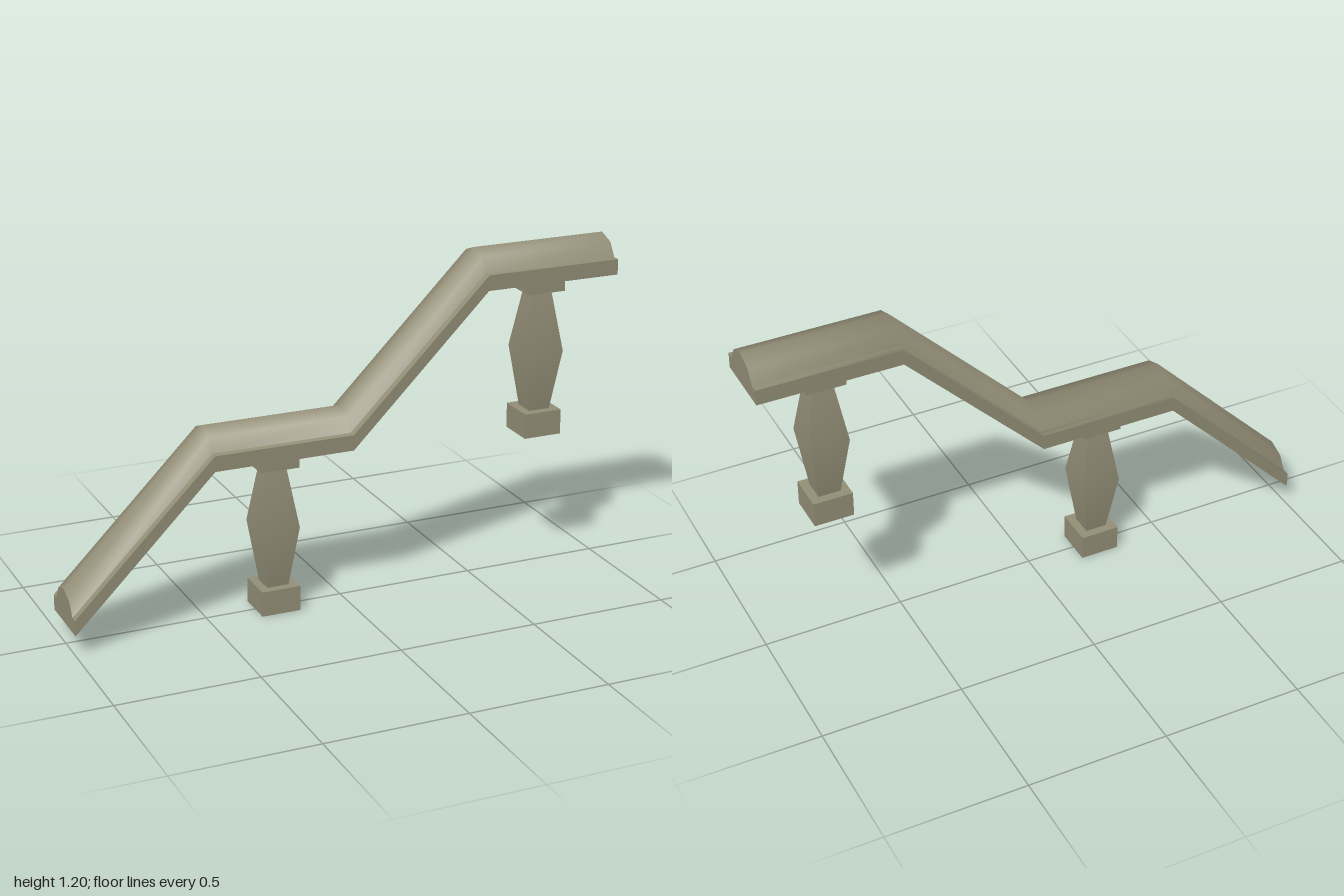
import * as THREE from 'three';

const stone = new THREE.MeshStandardMaterial({ color: 0x928d76, side: THREE.DoubleSide });
stone.name = 'weathered stone';

// Stepped handrail route (x, y of the underside) and its cross-section (z, y)
const path = [[-1, 0.075], [-0.5, 0.575], [0, 0.575], [0.5, 1.075], [1, 1.075]];
const section = [
  [0.117, 0], [0.117, 0.055], [0.09, 0.055], [0.06, 0.103], [0, 0.125],
  [-0.06, 0.103], [-0.09, 0.055], [-0.117, 0.055], [-0.117, 0],
];

function mesh(geometry, name) {
  const m = new THREE.Mesh(geometry, stone);
  m.name = name;
  return m;
}

// Sweeps an open piece of the section along the path, smooth within the piece
function sweep(points) {
  const positions = [], index = [], n = points.length;
  for (const [x, y] of path) for (const [z, h] of points) positions.push(x, y + h, z);
  for (let i = 0; i < path.length - 1; i++) {
    for (let j = 0; j < n - 1; j++) {
      const a = i * n + j, b = a + n;
      index.push(a, b, b + 1, a, b + 1, a + 1);
    }
  }
  const g = new THREE.BufferGeometry();
  g.setAttribute('position', new THREE.Float32BufferAttribute(positions, 3));
  g.setIndex(index);
  g.computeVertexNormals();
  return g;
}

function makeRail() {
  const rail = new THREE.Group();
  rail.name = 'handrail';
  const s = section;
  rail.add(
    mesh(sweep([s[0], s[1]]), 'frontEdge'),
    mesh(sweep([s[1], s[2]]), 'frontLedge'),
    mesh(sweep(s.slice(2, 7)), 'roundedTop'),
    mesh(sweep([s[6], s[7]]), 'backLedge'),
    mesh(sweep([s[7], s[8]]), 'backEdge'),
    mesh(sweep([s[8], s[0]]), 'underside'),
  );
  // Flat ends
  const shape = new THREE.Shape(section.map(([z, y]) => new THREE.Vector2(z, y)));
  for (const [side, [x, y]] of [[-1, path[0]], [1, path[path.length - 1]]]) {
    const end = mesh(new THREE.ShapeGeometry(shape), side < 0 ? 'lowerEnd' : 'upperEnd');
    end.rotation.y = side * Math.PI / 2;
    end.position.set(x, y, 0);
    rail.add(end);
  }
  return rail;
}

function makeBaluster(name, x, y) {
  const baluster = new THREE.Group();
  baluster.name = name;

  // Plinth, hollow underneath: the bottom face is left out
  const plinthGeometry = new THREE.BoxGeometry(0.14, 0.09, 0.14);
  const faces = Array.from(plinthGeometry.index.array);
  faces.splice(18, 6);
  plinthGeometry.setIndex(faces);
  plinthGeometry.clearGroups();
  const plinth = mesh(plinthGeometry, 'plinth');
  plinth.position.y = 0.045;

  // Square shaft, widest halfway up
  const shaftGeometry = new THREE.BoxGeometry(0.14, 0.435, 0.14, 1, 2, 1);
  const p = shaftGeometry.attributes.position;
  for (let i = 0; i < p.count; i++) {
    const h = p.getY(i);
    const k = h > 0.1 ? 0.5 : h < -0.1 ? 0.56 : 1;
    p.setXYZ(i, p.getX(i) * k, h, p.getZ(i) * k);
  }
  shaftGeometry.computeVertexNormals();
  const shaft = mesh(shaftGeometry, 'shaft');
  shaft.position.y = 0.3075;

  const cap = mesh(new THREE.BoxGeometry(0.14, 0.05, 0.14), 'cap');
  cap.position.y = 0.55;

  baluster.add(plinth, shaft, cap);
  baluster.position.set(x, y, 0);
  return baluster;
}

export function createModel() {
  const model = new THREE.Group();
  model.name = 'steppedBalustrade';
  model.add(
    makeRail(),
    makeBaluster('lowerBaluster', -0.25, 0),
    makeBaluster('upperBaluster', 0.75, 0.5),
  );
  return model;
}
